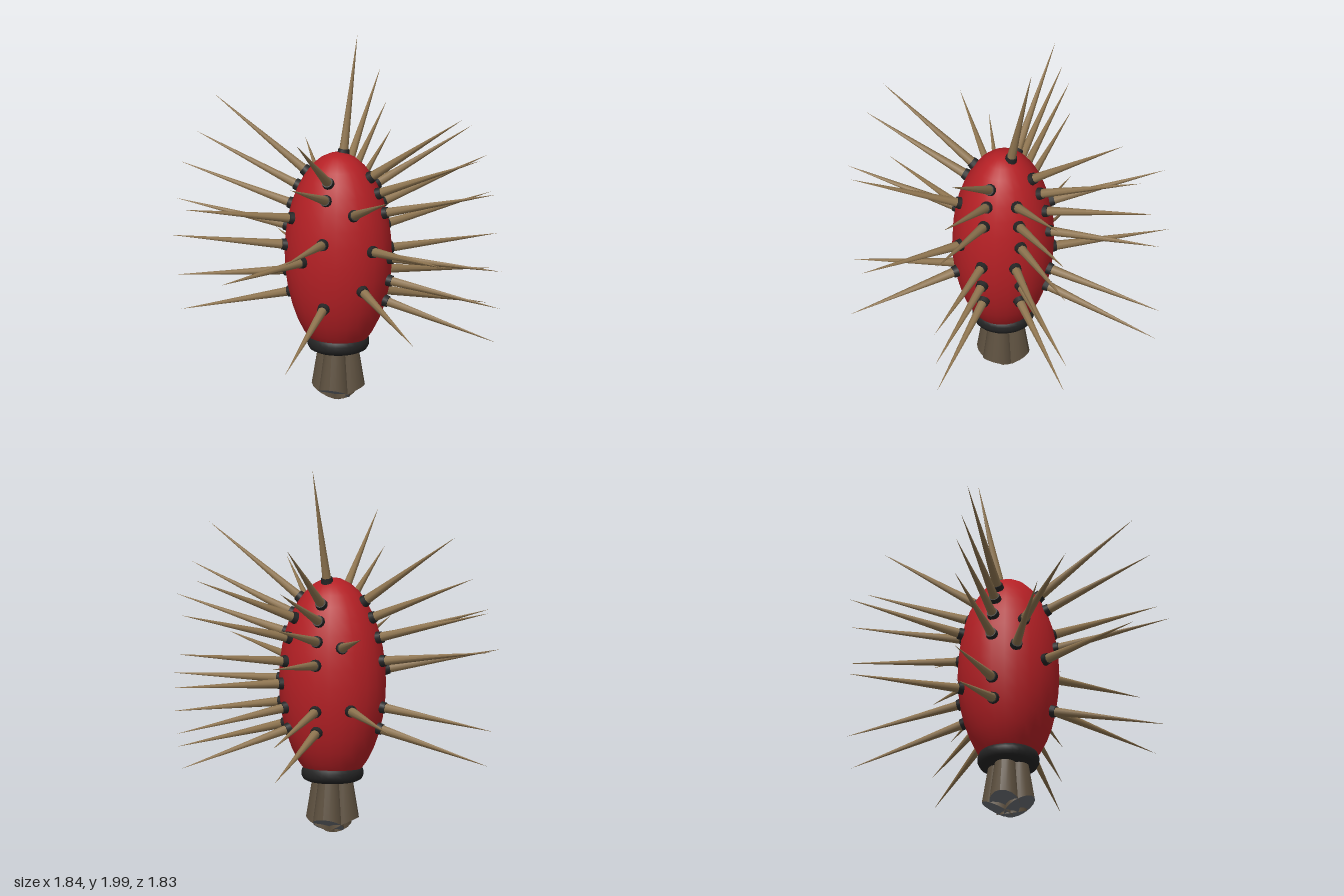
import * as THREE from 'three';

const mat = (name, color, side = THREE.FrontSide) => {
  const m = new THREE.MeshStandardMaterial({ color, side });
  m.name = name;
  return m;
};

const CY = 0.82, RX = 0.288, RY = 0.56, RZ = 0.27;

export function createModel() {
  const root = new THREE.Group();
  root.name = 'spikedPod';
  const red = mat('shellRed', 0xb52025);
  const tan = mat('spineTan', 0x8f7550);
  const black = mat('collarBlack', 0x242424);
  const brown = mat('stemBrown', 0x5e5140);
  const grey = mat('footGrey', 0x6a6e73);

  const add = (geo, material, name, parent = root) => {
    const mesh = new THREE.Mesh(geo, material);
    mesh.name = name;
    parent.add(mesh);
    return mesh;
  };

  // egg-shaped shell
  const shell = add(new THREE.SphereGeometry(1, 24, 18), red, 'shell');
  shell.scale.set(RX, RY, RZ);
  shell.position.y = CY;

  // rounded collar under the shell
  const collar = [[0.001, 0.285], [0.135, 0.285], [0.155, 0.295], [0.165, 0.315],
    [0.165, 0.338], [0.158, 0.357], [0.14, 0.367], [0.001, 0.367]];
  add(new THREE.LatheGeometry(collar.map(p => new THREE.Vector2(...p)), 28), black, 'collar');

  // stem: four flared lobes with slanted grey ends
  for (let i = 0; i < 4; i++) {
    const lobe = new THREE.CylinderGeometry(0.055, 0.083, 1, 16, 1);
    const p = lobe.attributes.position;
    for (let k = 0; k < p.count; k++) {
      const top = p.getY(k) > 0;
      const z = p.getZ(k) + (top ? 0.055 : 0.062);
      p.setZ(k, z);
      p.setY(k, top ? 0.3 : 0.005 + 0.085 * (z + 0.021) / 0.166);
    }
    lobe.computeVertexNormals();
    const mesh = add(lobe, [brown, brown, grey], 'stemLobe');
    mesh.rotation.y = i * Math.PI / 2;
  }

  // one spine with its dark socket, from the shell to its tip
  const spineGeo = new THREE.ConeGeometry(0.026, 1, 8, 1, true).translate(0, 0.5, 0);
  const socketGeo = new THREE.CylinderGeometry(0.03, 0.036, 0.045, 12);
  const up = new THREE.Vector3(0, 1, 0);
  const addSpine = (base, tip) => {
    const g = new THREE.Group();
    g.name = 'spine';
    const dir = tip.clone().sub(base);
    const length = dir.length();
    g.position.copy(base);
    g.quaternion.setFromUnitVectors(up, dir.normalize());
    add(spineGeo, tan, 'spineShaft', g).scale.y = length;
    add(socketGeo, black, 'spineSocket', g);
    root.add(g);
  };
  const spineTo = (x, y, z, baseY) => {
    const k = Math.sqrt(1 - ((baseY - CY) / RY) ** 2);
    const a = Math.atan2(x, z);
    addSpine(new THREE.Vector3(Math.sin(a) * RX * k, baseY, Math.cos(a) * RZ * k),
      new THREE.Vector3(x, y, z));
  };

  // rows of spines: base height, tip radius, tip height
  const rows = [[1.26, 0.70, 1.64], [1.175, 0.80, 1.42], [1.07, 0.89, 1.24], [0.945, 0.91, 1.03],
    [0.82, 0.92, 0.81], [0.695, 0.915, 0.60], [0.58, 0.885, 0.41]];
  const meridians = [
    [0, [0, 1, 3, 6]],
    [90, [0, 1, 2, 4, 5, 6]],
    [135, [1, 2, 3, 5, 6]],
    [180, [0, 1, 2, 3, 5, 6]],
    [270, [0, 1, 2, 3, 5, 6]],
  ];
  for (const [deg, used] of meridians) {
    const a = THREE.MathUtils.degToRad(deg);
    for (const r of used) {
      const [baseY, radius, tipY] = rows[r];
      spineTo(Math.sin(a) * radius, tipY, Math.cos(a) * radius, baseY);
    }
  }

  // loose spines between the rows: tip, base height
  const loose = [
    [0.51, 1.36, 0.67, 1.1], [0.77, 0.965, 0.49, 0.895], [0.63, 0.555, 0.62, 0.68],
    [-0.69, 1.16, 0.55, 1.04], [-0.80, 0.97, 0.43, 0.88], [-0.38, 0.855, 0.83, 0.83],
    [-0.44, 1.19, -0.75, 1.04], [-0.59, 0.68, -0.71, 0.70], [0.71, 0.83, -0.56, 0.82],
  ];
  for (const s of loose) spineTo(...s);

  // crown spine
  addSpine(new THREE.Vector3(0.012, 1.365, -0.05), new THREE.Vector3(0.045, 1.99, -0.185));

  return root;
}
